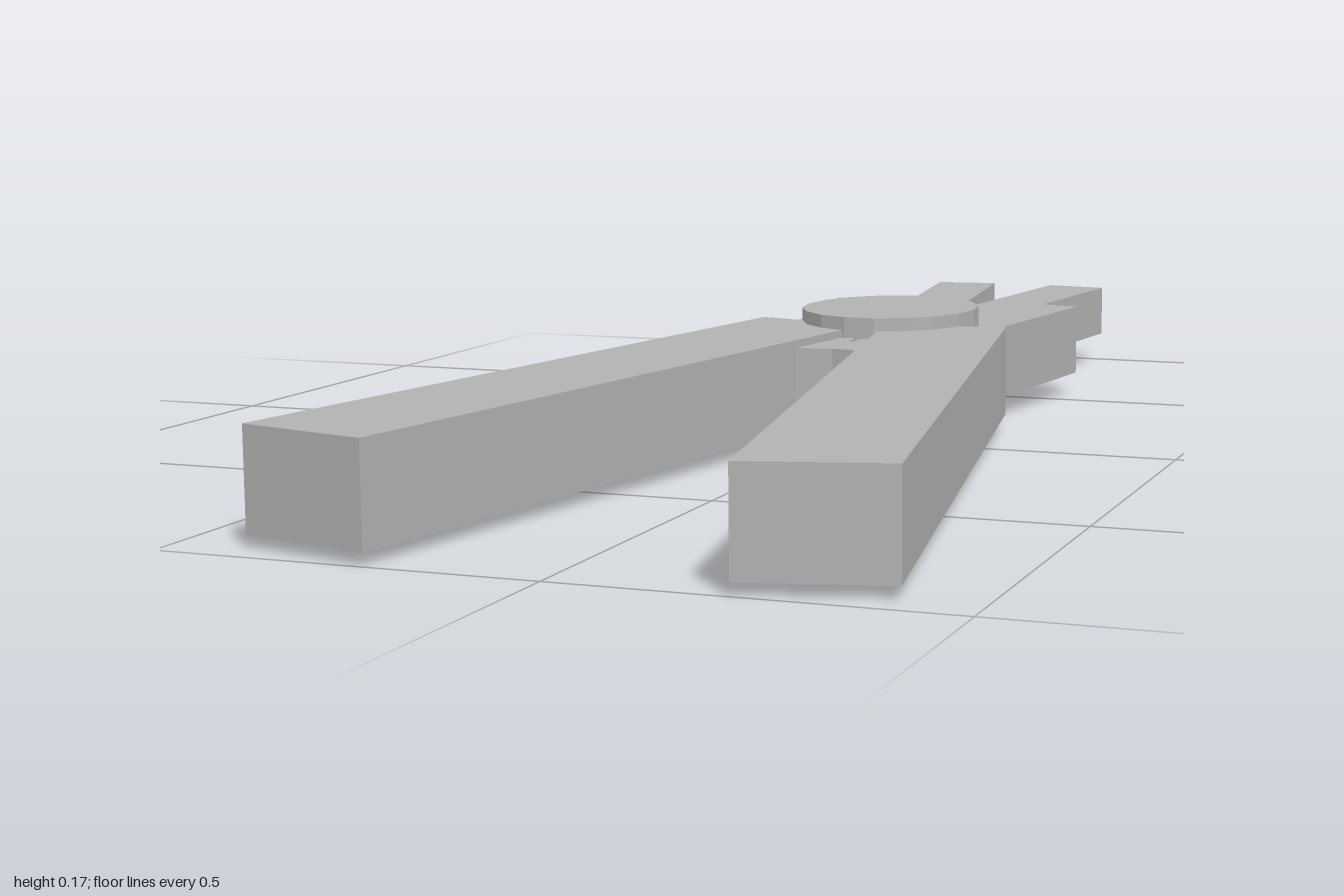
import * as THREE from 'three';

export function createModel() {
  const root = new THREE.Group();
  root.name = 'pliers';
  const steel = new THREE.MeshStandardMaterial({ color: 0xb2b2b2 });
  steel.name = 'grey steel';

  // The whole tool leans very slightly, rising towards the jaws
  const tool = new THREE.Group();
  tool.name = 'tool';
  tool.rotation.x = 0.0045;
  tool.position.y = 0.0862;
  root.add(tool);

  // Slanted bar: four [x, z] corners, centred on the tool's mid plane
  function bar(name, corners, halfHeight, side) {
    const shape = new THREE.Shape(corners.map(([x, z]) => new THREE.Vector2(side * x, -z)));
    const geometry = new THREE.ExtrudeGeometry(shape, { depth: 2 * halfHeight, bevelEnabled: false });
    geometry.translate(0, 0, -halfHeight);
    geometry.rotateX(-Math.PI / 2);
    const mesh = new THREE.Mesh(geometry, steel);
    mesh.name = name;
    tool.add(mesh);
  }

  for (const side of [1, -1]) {
    const label = side > 0 ? 'left' : 'right';
    // Long handle
    bar(label + 'Handle', [[0.405, 0.952], [0.224, 0.997], [0.015, -0.151], [0.196, -0.196]], 0.0665, side);
    // Jaw base, crossing its twin under the pivot
    bar(label + 'JawBase', [[0.117, 0.063], [-0.01, 0.035], [0.08, -0.608], [0.208, -0.58]], 0.055, side);
    // Narrow jaw tip
    bar(label + 'JawTip', [[0.094, -0.514], [-0.006, -0.528], [0.053, -1], [0.153, -0.986]], 0.0415, side);
  }

  // Pivot disc, slightly longer front to back
  const disc = new THREE.CylinderGeometry(0.134, 0.134, 0.1725, 18);
  disc.rotateY(Math.PI / 18);
  disc.scale(1, 1, 1.15);
  const flat = disc.toNonIndexed();
  flat.computeVertexNormals();
  const pivot = new THREE.Mesh(flat, steel);
  pivot.name = 'pivot';
  pivot.position.z = -0.233;
  tool.add(pivot);

  return root;
}
